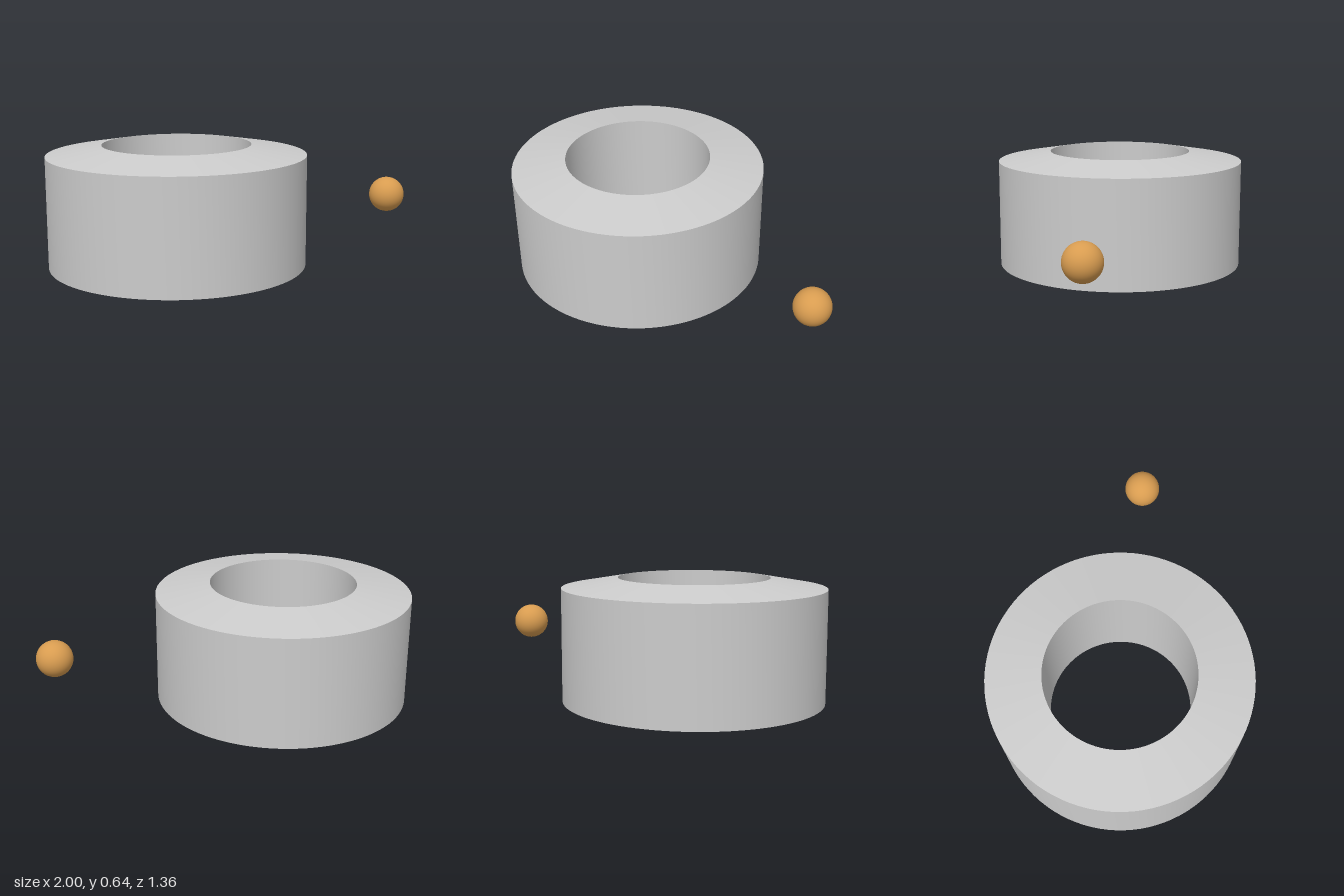
import * as THREE from 'three';
import { toCreasedNormals } from 'three/addons/utils/BufferGeometryUtils.js';

export function createModel() {
  const model = new THREE.Group();
  model.name = 'ringAndBall';

  // Thick ring with an open bore; its top slopes up towards the bore
  const outer = 0.68, inner = 0.39, wallTop = 0.585, boreTop = 0.636;
  const profile = [
    [inner, 0], [outer, 0], [outer, wallTop], [inner, boreTop], [inner, 0],
  ].map(([r, y]) => new THREE.Vector2(r, y));
  const ring = new THREE.Mesh(
    toCreasedNormals(new THREE.LatheGeometry(profile, 96), 0.5),
    new THREE.MeshStandardMaterial({ color: 0xcccccc })
  );
  ring.name = 'ring';
  ring.position.x = -0.32;
  model.add(ring);

  // Small ball floating beside the ring
  const ball = new THREE.Mesh(
    new THREE.SphereGeometry(0.097, 48, 32),
    new THREE.MeshStandardMaterial({ color: 0xd89c50 })
  );
  ball.name = 'ball';
  ball.position.set(0.903, 0.294, 0);
  model.add(ball);

  return model;
}
